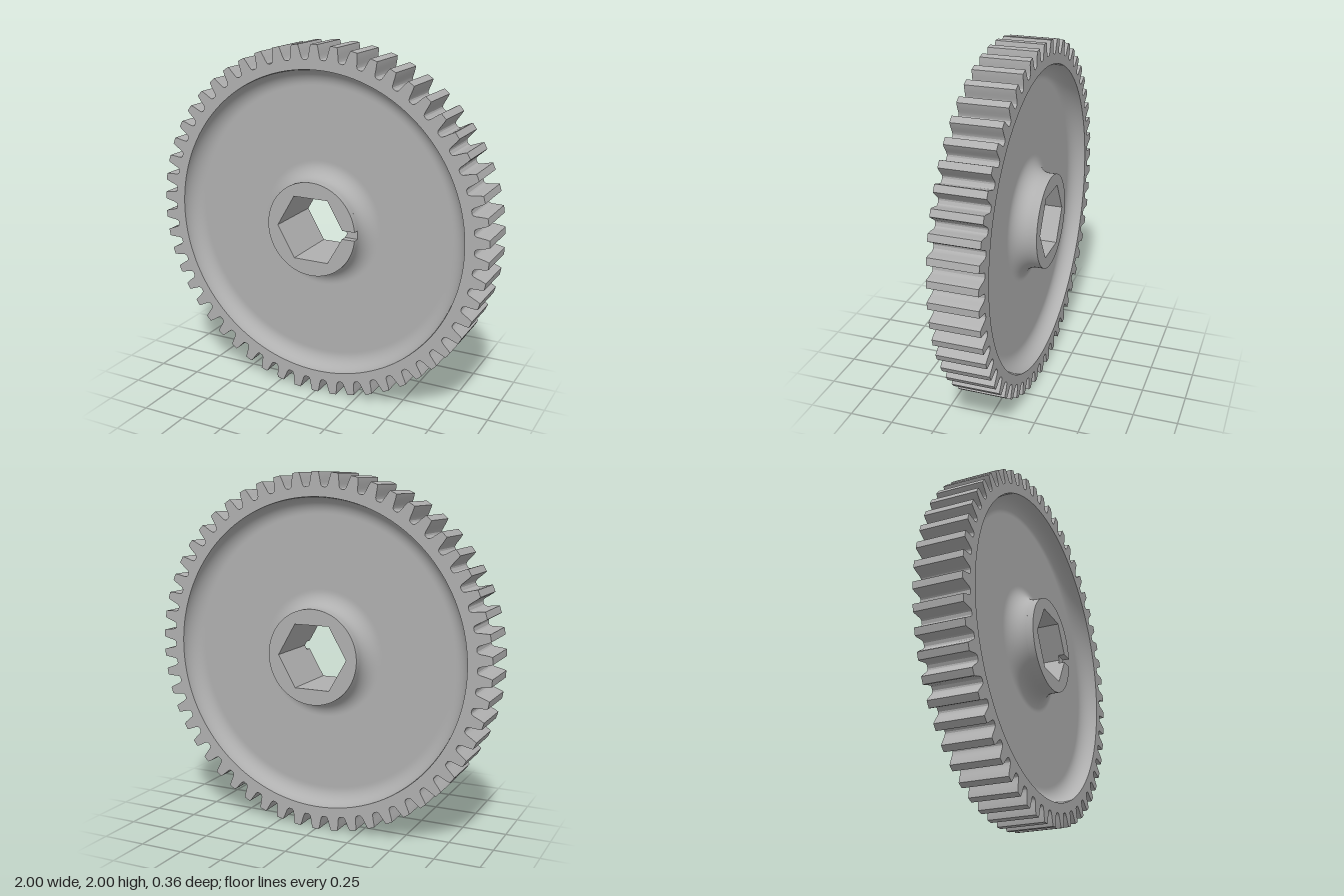
import * as THREE from 'three';
import { toCreasedNormals } from 'three/addons/utils/BufferGeometryUtils.js';

const TEETH = 54;
const RIM_Z = 0.134, HUB_Z = 0.179, WEB_Z = 0.045; // half thicknesses
const RIM_R = 0.867, HUB_R = 0.267, FILLET = RIM_Z - WEB_Z;
const HEX_R = 0.206, SLOT_HALF = 0.024, SLOT_Z = 0.142;

// Flat outline extruded between two z planes, curved walls kept smooth
function slab(shape, z0, z1) {
  const geo = new THREE.ExtrudeGeometry(shape, { depth: z1 - z0, bevelEnabled: false, curveSegments: 128 });
  geo.translate(0, 0, z0);
  return toCreasedNormals(geo, 0.4);
}

const polar = (r, a) => new THREE.Vector2(r * Math.cos(a), r * Math.sin(a));

// Toothed ring; one tooth points straight up
function rimShape() {
  const flank = [[0.049, 0.9205], [0.041, 0.925], [0.036, 0.934], [0.033, 0.945],
    [0.029, 0.964], [0.0245, 0.984], [0.0195, 1]]; // half angle, radius
  const tooth = [
    ...flank.map(([a, r]) => [-a, r]),
    [0, 1],
    ...flank.slice().reverse(),
  ];
  const pts = [];
  for (let i = 0; i < TEETH; i++) {
    const mid = Math.PI / 2 + (i * 2 * Math.PI) / TEETH;
    for (const [a, r] of tooth) pts.push(polar(r, mid + a));
  }
  const shape = new THREE.Shape(pts);
  shape.holes.push(new THREE.Path().absarc(0, 0, RIM_R, 0, Math.PI * 2, true));
  return shape;
}

const hexPoints = () => Array.from({ length: 6 }, (_, i) => polar(HEX_R, (i * Math.PI) / 3));

// Full hub ring with hexagonal bore
function hubShape() {
  const shape = new THREE.Shape().absarc(0, 0, HUB_R, 0, Math.PI * 2, false);
  shape.holes.push(new THREE.Path(hexPoints().reverse()));
  return shape;
}

// Hub ring cut open by the slot on the +x side
function slottedHubShape() {
  const a = Math.asin(SLOT_HALF / HUB_R);
  const x = HEX_R - SLOT_HALF / Math.sqrt(3); // where the slot meets the bore
  const pts = [];
  for (let i = 0; i <= 128; i++) pts.push(polar(HUB_R, a + ((2 * Math.PI - 2 * a) * i) / 128));
  pts.push(new THREE.Vector2(x, -SLOT_HALF));
  pts.push(...hexPoints().slice(1).reverse());
  pts.push(new THREE.Vector2(x, SLOT_HALF));
  return new THREE.Shape(pts);
}

// Recessed disc with a quarter-round fillet at the rim and at the hub
function webGeometry() {
  const pts = [], n = 14;
  for (let i = 0; i <= n; i++) {
    const t = (i / n) * Math.PI / 2;
    pts.push(new THREE.Vector2(RIM_R - FILLET + FILLET * Math.cos(t), RIM_Z - FILLET * Math.sin(t)));
  }
  pts.push(new THREE.Vector2(RIM_R - FILLET - 0.006, WEB_Z));
  pts.push(new THREE.Vector2(HUB_R + FILLET + 0.006, WEB_Z));
  for (let i = 0; i <= n; i++) {
    const t = (1 - i / n) * Math.PI / 2;
    pts.push(new THREE.Vector2(HUB_R + FILLET - FILLET * Math.cos(t), RIM_Z - FILLET * Math.sin(t)));
  }
  return new THREE.LatheGeometry(pts, 128);
}

export function createModel() {
  const steel = new THREE.MeshStandardMaterial({ color: 0xb0b0b0 });
  steel.name = 'grey steel';

  const gear = new THREE.Group();
  gear.name = 'spurGear';
  const add = (name, geo) => {
    const mesh = new THREE.Mesh(geo, steel);
    mesh.name = name;
    gear.add(mesh);
  };

  add('toothedRim', slab(rimShape(), -RIM_Z, RIM_Z));
  add('frontWeb', webGeometry().rotateX(Math.PI / 2));
  add('backWeb', webGeometry().rotateX(-Math.PI / 2));
  add('hub', slab(hubShape(), -HUB_Z, SLOT_Z));
  add('slottedHubFace', slab(slottedHubShape(), SLOT_Z, HUB_Z));

  gear.position.y = 1;
  const model = new THREE.Group();
  model.name = 'gearModel';
  model.add(gear);
  return model;
}
